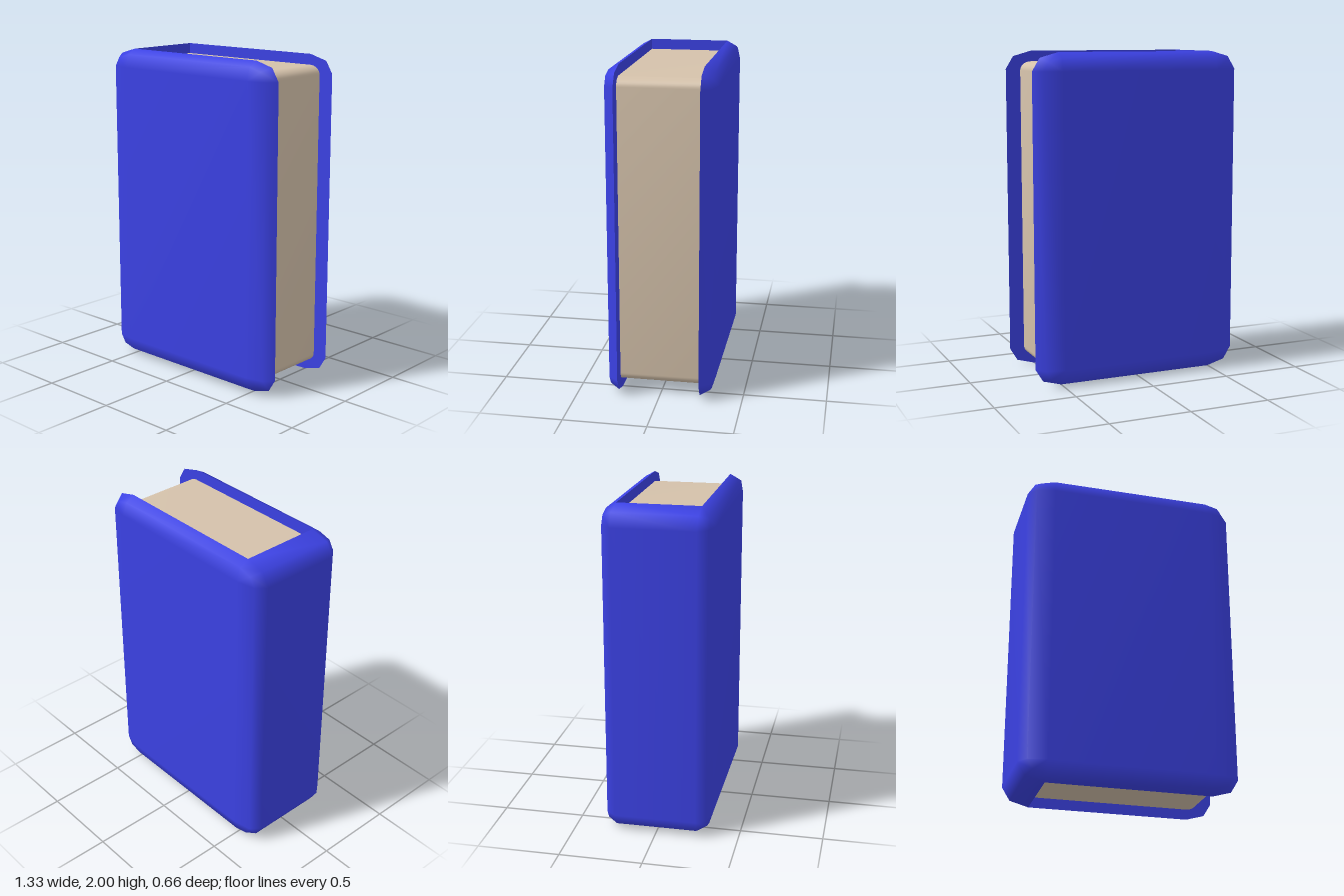
import * as THREE from 'three';
import { mergeVertices, toCreasedNormals } from 'three/addons/utils/BufferGeometryUtils.js';

// Half sizes of the flat core and the bevel radii on each axis
const CX = 0.5, CY = 0.89, CZ = 0.247;
const RX = 0.163, RY = 0.11, RZ = 0.083;

// Rounded outline of 12 points, three per corner, counter-clockwise from +x +y
function outline(scale) {
  const points = [];
  [[1, 1], [-1, 1], [-1, -1], [1, -1]].forEach(([sx, sy], corner) => {
    for (let i = 0; i < 3; i++) {
      const a = (corner * 2 + i) * Math.PI / 4;
      points.push([sx * CX + RX * scale * Math.cos(a), 1 + sy * CY + RY * scale * Math.sin(a)]);
    }
  });
  return points;
}

// Outer skin: stacked outlines along z, left open at top, bottom and fore edge
function coverSkin() {
  const positions = [], index = [];
  const levels = [-90, -45, 0, 0, 45, 90].map(THREE.MathUtils.degToRad);
  levels.forEach((a, level) => {
    const z = (level < 3 ? -CZ : CZ) + RZ * Math.sin(a);
    for (const [x, y] of outline(Math.cos(a))) positions.push(x, y, z);
  });
  for (let level = 0; level < 5; level++) {
    for (let k = 0; k < 12; k++) {
      if (level === 2 && (k < 3 || k > 7)) continue; // only the spine joins the boards
      const a = level * 12 + k, b = level * 12 + (k + 1) % 12;
      index.push(a, b, b + 12, a, b + 12, a + 12);
    }
  }
  index.push(0, 6, 3, 0, 9, 6);           // back face
  index.push(60, 63, 66, 60, 66, 69);     // front face
  const geometry = new THREE.BufferGeometry();
  geometry.setAttribute('position', new THREE.Float32BufferAttribute(positions, 3));
  geometry.setIndex(index);
  const merged = mergeVertices(geometry, 1e-4);
  merged.computeVertexNormals();
  return merged;
}

export function createModel() {
  const coverBlue = new THREE.MeshStandardMaterial({ color: 0x3b41e3 });
  coverBlue.name = 'coverBlue';
  const paper = new THREE.MeshStandardMaterial({ color: 0xd4c1aa });
  paper.name = 'paper';

  const book = new THREE.Group();
  book.name = 'book';
  const add = (parent, name, geometry, material) => {
    const mesh = new THREE.Mesh(geometry, material);
    mesh.name = name;
    parent.add(mesh);
    return mesh;
  };

  const cover = new THREE.Group();
  cover.name = 'cover';
  book.add(cover);
  add(cover, 'coverSkin', coverSkin(), coverBlue);

  // Flat inner sides of the two boards
  const ring = outline(1);
  const inner = new THREE.Shape([8, 9, 10, 11, 0, 1, 2, 3].map(i => new THREE.Vector2(...ring[i])));
  add(cover, 'backBoardInside', new THREE.ShapeGeometry(inner), coverBlue).position.z = -CZ;
  const frontInside = new THREE.ShapeGeometry(inner).translate(0, 0, CZ);
  const order = frontInside.index.array;
  for (let i = 0; i < order.length; i += 3) [order[i], order[i + 1]] = [order[i + 1], order[i]];
  frontInside.computeVertexNormals();
  add(cover, 'frontBoardInside', frontInside, coverBlue);

  // Flat inner side of the spine
  const spine = add(cover, 'spineInside', new THREE.PlaneGeometry(CZ * 2, 2), coverBlue);
  spine.rotation.y = Math.PI / 2;
  spine.position.set(-CX, 1, 0);

  // Page block, rounded at the fore edge
  const left = -CX, right = 0.57, low = 0.065, high = 1.935, rx = 0.07, ry = 0.055;
  const page = new THREE.Shape();
  page.moveTo(left, low);
  page.lineTo(right - rx, low);
  page.absellipse(right - rx, low + ry, rx, ry, -Math.PI / 2, 0, false);
  page.absellipse(right - rx, high - ry, rx, ry, 0, Math.PI / 2, false);
  page.lineTo(left, high);
  page.closePath();
  const block = new THREE.ExtrudeGeometry(page, { depth: CZ * 2, bevelEnabled: false, curveSegments: 4 });
  block.translate(0, 0, -CZ);
  add(book, 'pages', toCreasedNormals(block, Math.PI / 4), paper);

  return book;
}
